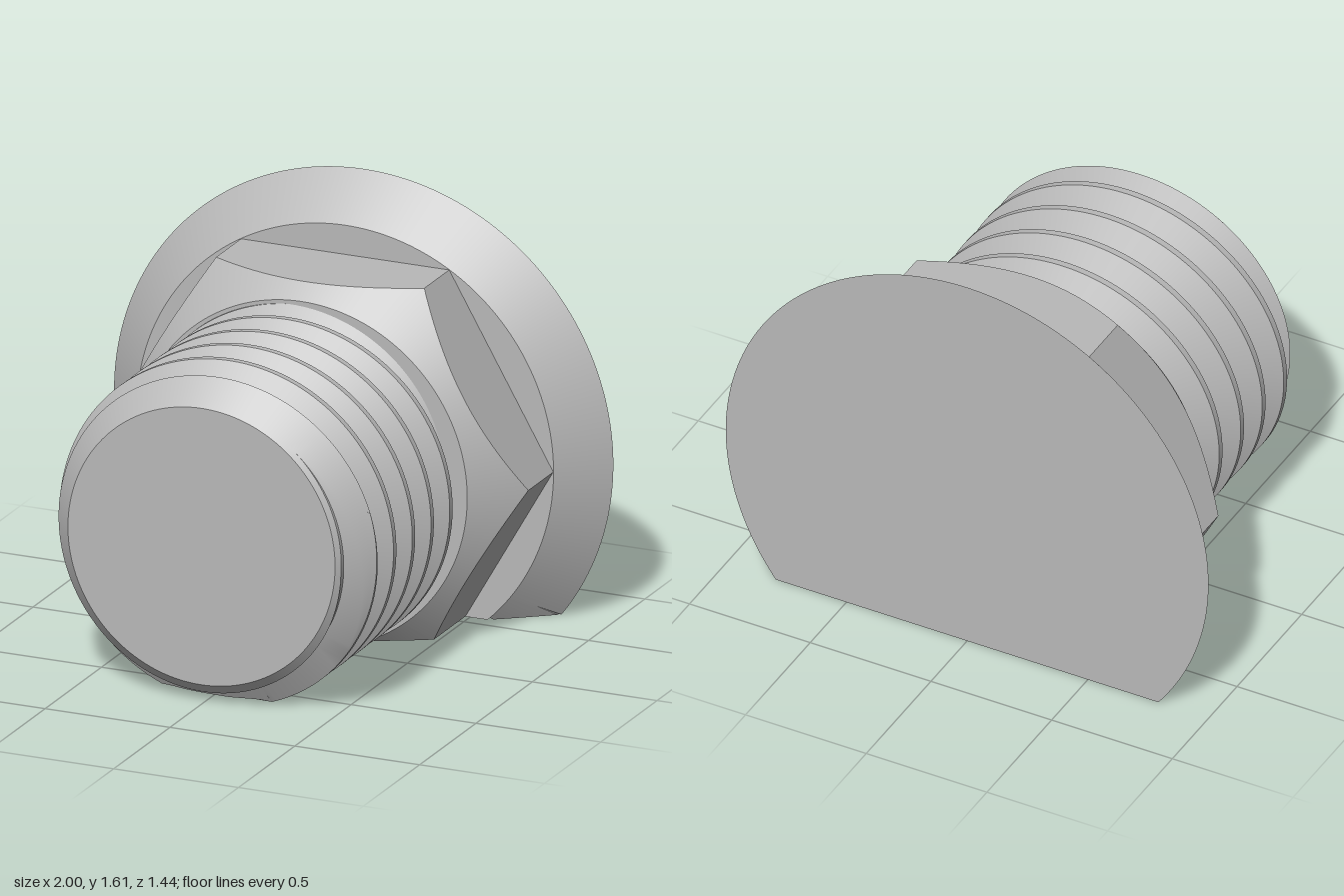
import * as THREE from 'three';
import { toCreasedNormals } from 'three/addons/utils/BufferGeometryUtils.js';

const AXIS_Y = 0.61;            // height of the bolt axis above the flat underside
const HEX = 0.722;              // hexagon apothem
const TAU = Math.PI * 2;

// Angles around the axis, with exact samples where the flat cut meets key radii
const angles = [];
for (let i = 0; i <= 180; i++) angles.push(i / 180 * TAU);
for (const r of [1, 0.835, 0.777, 0.665, 0.65]) {
  const a = Math.asin(AXIS_Y / r);
  angles.push(Math.PI + a, TAU - a);
}
angles.sort((a, b) => a - b);

// Radius at which the flat underside cuts a ray from the axis
const flatLimit = (a) => (Math.sin(a) < -1e-6 ? AXIS_Y / -Math.sin(a) : Infinity);

// Limit a profile of [radius, z] points, adding the exact crossing in each segment
function trim(profile, limit) {
  const out = [];
  const cut = ([r, z]) => [Math.min(r, limit(z)), z];
  profile.forEach((p, i) => {
    out.push(cut(p));
    const q = profile[i + 1];
    if (!q) return;
    const fp = p[0] - limit(p[1]), fq = q[0] - limit(q[1]);
    const t = fp * fq < 0 && Number.isFinite(fp) && Number.isFinite(fq) ? fp / (fp - fq) : 0.5;
    out.push(cut([p[0] + (q[0] - p[0]) * t, p[1] + (q[1] - p[1]) * t]));
  });
  return out;
}

// Sweep an angle-dependent profile around z, running from back to front
function sweep(profileAt, limitAt) {
  const columns = angles.map((a) =>
    trim(profileAt(a), (z) => Math.min(flatLimit(a), limitAt ? limitAt(z) : Infinity))
      .map(([r, z]) => new THREE.Vector3(r * Math.cos(a), r * Math.sin(a), z)));
  const pos = [];
  const ab = new THREE.Vector3(), ac = new THREE.Vector3();
  const tri = (a, b, c) => {
    if (ab.subVectors(b, a).cross(ac.subVectors(c, a)).length() < 1e-9) return;
    for (const v of [a, b, c]) pos.push(v.x, v.y, v.z);
  };
  for (let i = 0; i < columns.length - 1; i++) {
    const L = columns[i], R = columns[i + 1];
    for (let j = 0; j < L.length - 1; j++) {
      tri(L[j], R[j], R[j + 1]);
      tri(L[j], R[j + 1], L[j + 1]);
    }
  }
  const g = new THREE.BufferGeometry();
  g.setAttribute('position', new THREE.Float32BufferAttribute(pos, 3));
  return toCreasedNormals(g, 0.45);
}

// Conical flange
const flangeProfile = () => [[0, -0.72], [1, -0.72], [0.835, -0.555], [0, -0.555]];

// Hexagon with a conical chamfer at its front
function hexProfile(a) {
  const sector = Math.PI / 3;
  const r = HEX / Math.cos((a % sector) - sector / 2);
  return [[0, -0.555], [r, -0.555], [r, 0.5 - r], [0.665, -0.165], [0, -0.165]];
}

// Right-handed helical thread
const PITCH = 0.1663, MAJOR = 0.65, MINOR = 0.552;
const Z0 = -0.2, Z1 = 0.72, CREST = 0.013, ROOT = 0.071;
function threadProfile(a) {
  const crest = 0.485 + PITCH * (a - Math.PI / 2) / TAU;
  const radius = (z) => {
    const d = Math.abs(z - crest - PITCH * Math.round((z - crest) / PITCH));
    return THREE.MathUtils.mapLinear(THREE.MathUtils.clamp(d, CREST, ROOT), CREST, ROOT, MAJOR, MINOR);
  };
  const points = [];
  for (let n = -6; n <= 2; n++) {
    for (const d of [-CREST, CREST, ROOT, PITCH - ROOT]) {
      const z = THREE.MathUtils.clamp(crest + n * PITCH + d, Z0, Z1);
      points.push([radius(z), z]);
    }
  }
  points.push([0, Z1]);
  return points;
}

// Chamfer at the tip of the shank
const tipLimit = (z) => 0.535 + Z1 - z;

export function createModel() {
  const steel = new THREE.MeshStandardMaterial({ color: 0xb8b8b8 });
  steel.name = 'steel grey';
  const bolt = new THREE.Group();
  bolt.name = 'flangeBolt';
  const add = (name, geometry) => {
    const mesh = new THREE.Mesh(geometry, steel);
    mesh.name = name;
    mesh.position.y = AXIS_Y;
    bolt.add(mesh);
  };
  add('flange', sweep(flangeProfile));
  add('hexHead', sweep(hexProfile));
  add('threadedShank', sweep(threadProfile, tipLimit));
  return bolt;
}
